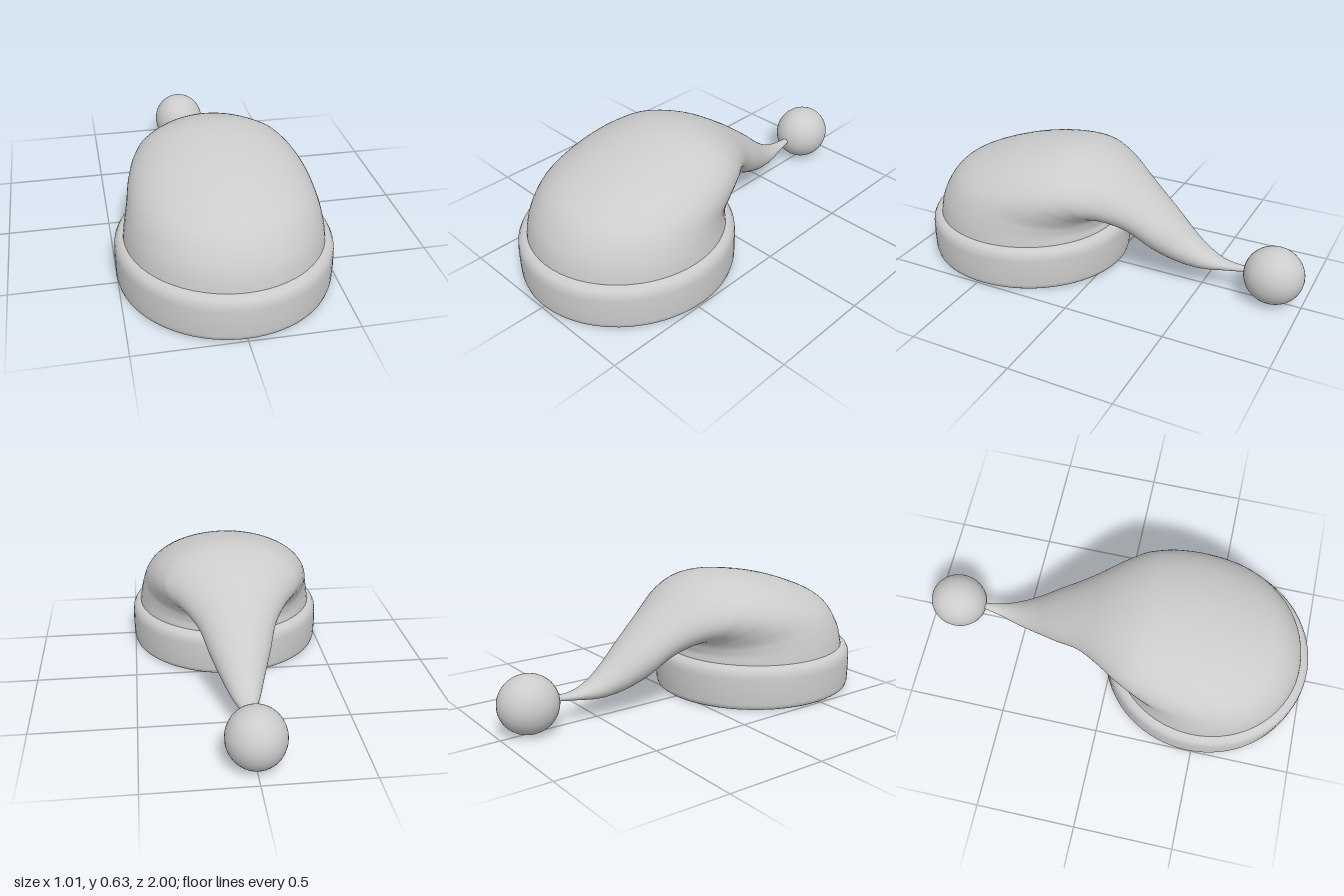
import * as THREE from 'three';

const material = new THREE.MeshStandardMaterial({ color: 0xcccccc, side: THREE.DoubleSide });

function addMesh(group, name, geometry) {
  const mesh = new THREE.Mesh(geometry, material);
  mesh.name = name;
  group.add(mesh);
  return mesh;
}

// Skin a smooth surface over elliptical sections that fan round the fold.
// Each section: [outer z, outer y, inner z, inner y, half width]
function sweptCloth(sections, rows, sides) {
  const outer = new THREE.CatmullRomCurve3(sections.map(s => new THREE.Vector3(0, s[1], s[0])));
  const inner = new THREE.CatmullRomCurve3(sections.map(s => new THREE.Vector3(s[4], s[3], s[2])));
  const positions = [], index = [];
  for (let i = 0; i <= rows; i++) {
    const o = outer.getPoint(i / rows), n = inner.getPoint(i / rows);
    for (let j = 0; j < sides; j++) {
      const a = (j / sides) * Math.PI * 2;
      const k = (1 + Math.cos(a)) / 2;
      positions.push(n.x * Math.sin(a), n.y + (o.y - n.y) * k, n.z + (o.z - n.z) * k);
      if (i < rows) {
        const p = i * sides + j, q = i * sides + (j + 1) % sides;
        index.push(p, q, q + sides, p, q + sides, p + sides);
      }
    }
  }
  const geometry = new THREE.BufferGeometry();
  geometry.setAttribute('position', new THREE.Float32BufferAttribute(positions, 3));
  geometry.setIndex(index);
  geometry.computeVertexNormals();
  return geometry;
}

export function createModel() {
  const group = new THREE.Group();
  group.name = 'floppyHat';

  // Rolled brim, slightly longer than wide, open underneath
  const profile = [
    [0.46, 0.2], [0.457, 0.12], [0.455, 0.035], [0.46, 0.014], [0.474, 0.003], [0.488, 0.002],
    [0.499, 0.01], [0.504, 0.03], [0.506, 0.1], [0.505, 0.16], [0.502, 0.185],
    [0.492, 0.205], [0.475, 0.217], [0.455, 0.22],
  ].map(([r, y]) => new THREE.Vector2(r, y));
  const brim = addMesh(group, 'brim', new THREE.LatheGeometry(profile, 80));
  brim.scale.z = 1.037;
  brim.position.z = 0.475;

  // Crown bending backwards into the drooping tail
  addMesh(group, 'crownAndTail', sweptCloth([
    [0.953, 0.19, 0.0, 0.19, 0.464],
    [0.95, 0.23, 0.0, 0.22, 0.462],
    [0.92, 0.33, 0.005, 0.25, 0.452],
    [0.83, 0.45, 0.0, 0.275, 0.435],
    [0.62, 0.55, -0.002, 0.292, 0.415],
    [0.38, 0.613, -0.01, 0.302, 0.382],
    [0.17, 0.632, -0.03, 0.298, 0.335],
    [0.0, 0.585, -0.075, 0.278, 0.268],
    [-0.17, 0.48, -0.15, 0.235, 0.195],
    [-0.33, 0.355, -0.26, 0.158, 0.145],
    [-0.45, 0.25, -0.38, 0.112, 0.1],
    [-0.54, 0.187, -0.5, 0.098, 0.066],
    [-0.62, 0.158, -0.61, 0.111, 0.036],
    [-0.74, 0.152, -0.74, 0.13, 0.011],
  ], 78, 64));

  // Ball at the tip of the tail
  const pompom = addMesh(group, 'pompom', new THREE.SphereGeometry(1, 40, 28));
  pompom.scale.set(0.136, 0.14, 0.145);
  pompom.position.set(0, 0.145, -0.855);

  return group;
}
